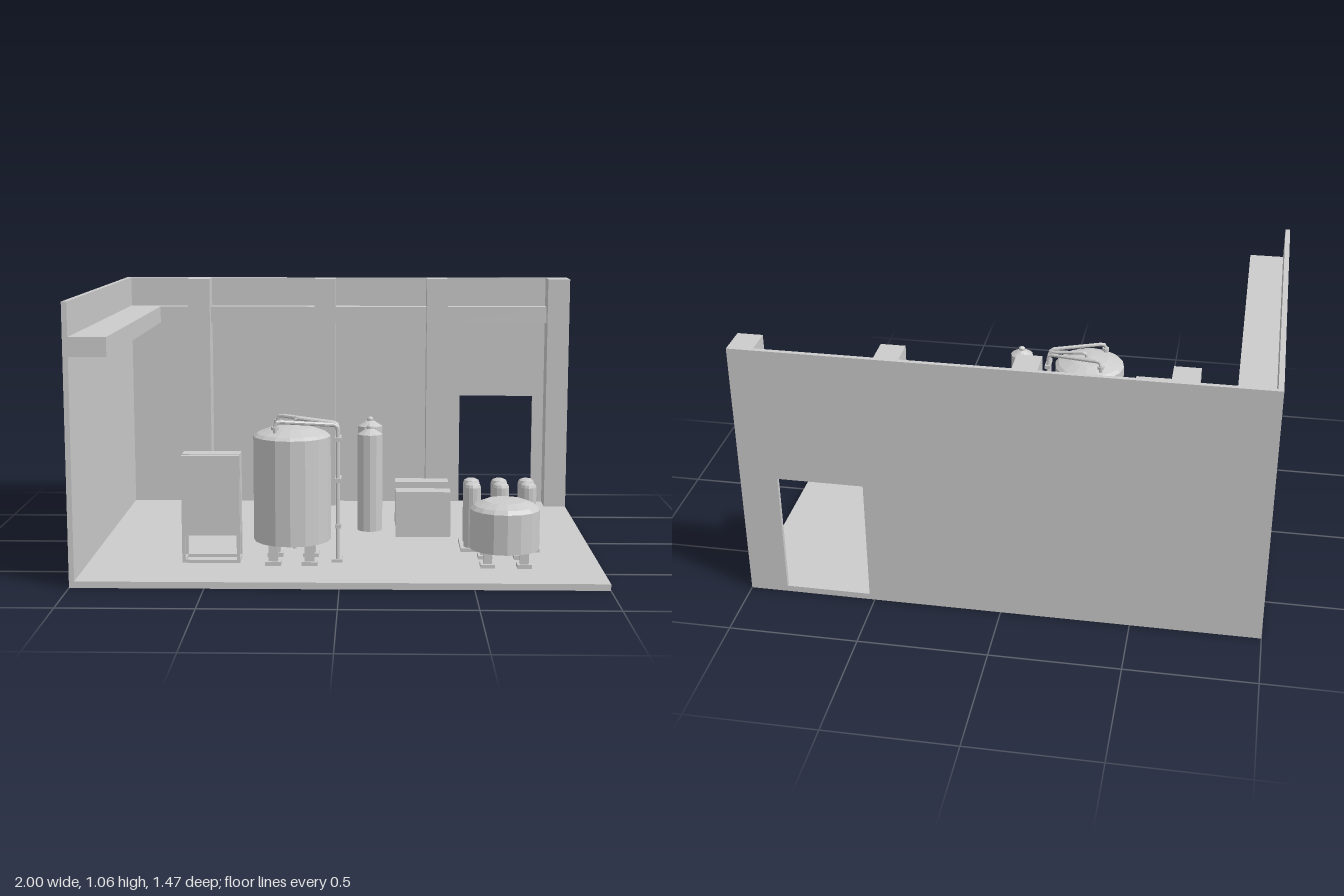
import * as THREE from 'three';

const FLOOR = 0.025;

export function createModel() {
  const root = new THREE.Group();
  root.name = 'utilityRoom';
  const mat = new THREE.MeshStandardMaterial({ color: 0xcccccc, flatShading: true });

  const group = (name, x = 0, z = 0) => {
    const g = new THREE.Group();
    g.name = name;
    g.position.set(x, 0, z);
    root.add(g);
    return g;
  };
  const add = (parent, name, geo) => {
    const m = new THREE.Mesh(geo, mat);
    m.name = name;
    parent.add(m);
    return m;
  };
  // Box given by its minimum and maximum along each axis
  const box = (parent, name, x0, x1, y0, y1, z0, z1) => {
    const m = add(parent, name, new THREE.BoxGeometry(x1 - x0, y1 - y0, z1 - z0));
    m.position.set((x0 + x1) / 2, (y0 + y1) / 2, (z0 + z1) / 2);
    return m;
  };
  const lathe = (parent, name, pts, sides) =>
    add(parent, name, new THREE.LatheGeometry(pts.map(p => new THREE.Vector2(...p)), sides));
  // Round pipe through a list of points with straight runs and rounded corners
  const pipe = (parent, name, pts, r) => {
    const v = pts.map(p => new THREE.Vector3(...p));
    const path = new THREE.CurvePath();
    let from = v[0];
    for (let i = 1; i < v.length - 1; i++) {
      const bend = 0.018;
      const a = v[i].clone().add(v[i - 1].clone().sub(v[i]).setLength(bend));
      const b = v[i].clone().add(v[i + 1].clone().sub(v[i]).setLength(bend));
      path.add(new THREE.LineCurve3(from, a));
      path.add(new THREE.QuadraticBezierCurve3(a, v[i], b));
      from = b;
    }
    path.add(new THREE.LineCurve3(from, v[v.length - 1]));
    return add(parent, name, new THREE.TubeGeometry(path, 48, r, 8));
  };
  // Four legs on square foot plates
  const legs = (parent, d, top, w) => {
    for (const sx of [-1, 1]) for (const sz of [-1, 1]) {
      const x = sx * d, z = sz * d;
      box(parent, 'leg', x - w * 0.3, x + w * 0.3, FLOOR, top, z - w * 0.3, z + w * 0.3);
      box(parent, 'footPlate', x - w / 2, x + w / 2, FLOOR, FLOOR + 0.015, z - w / 2, z + w / 2);
    }
  };

  // Floor and walls, with a doorway in the back wall
  const room = group('room');
  box(room, 'floor', -1, 1, 0, FLOOR, -0.735, 0.735);
  box(room, 'sideWall', -1, -0.98, FLOOR, 1.06, -0.735, 0.735);
  const wall = new THREE.Shape([[-0.98, FLOOR], [0.52, FLOOR], [0.52, 0.52], [0.853, 0.52],
    [0.853, FLOOR], [1, FLOOR], [1, 1.06], [-0.98, 1.06]].map(p => new THREE.Vector2(...p)));
  add(room, 'backWall', new THREE.ExtrudeGeometry(wall, { depth: 0.018, bevelEnabled: false }))
    .position.z = -0.735;

  // Columns and the beams between them
  const columns = [[-0.71, -0.612], [-0.14, -0.047], [0.363, 0.456], [0.903, 1]];
  let start = -0.84;
  for (const [a, b] of columns) {
    box(room, 'column', a, b, FLOOR, 1.06, -0.717, -0.607);
    box(room, 'backBeam', start, a, 0.86, 0.932, -0.717, -0.655);
    start = b;
  }
  box(room, 'sideBeam', -0.98, -0.84, 0.86, 0.932, -0.717, 0.735);

  // Large tank
  const big = group('largeTank', -0.19, 0.39);
  lathe(big, 'tankBody', [[0, 0.11], [0.15, 0.11], [0.15, 0.518], [0.135, 0.53],
    [0.08, 0.55], [0, 0.56]], 16);
  legs(big, 0.07, 0.12, 0.062);

  // Pipes from the large tank to the floor
  const piping = group('tankPiping');
  const outlets = [[-0.25, 0.295], [-0.18, 0.37], [-0.25, 0.47]];
  outlets.forEach(([x, z], i) => {
    const pz = 0.367 + i * 0.025;
    pipe(piping, 'pipe', [[x, 0.53, z], [x, 0.583, z], [-0.012, 0.563, pz], [-0.012, FLOOR, pz]], 0.008);
    const flange = add(piping, 'flange', new THREE.CylinderGeometry(0.015, 0.015, 0.012, 10));
    flange.position.set(x, 0.558, z);
  });
  box(piping, 'pipeFoot', -0.036, 0.006, FLOOR, 0.037, 0.35, 0.434);
  for (const y of [0.16, 0.34, 0.5]) box(piping, 'pipeClamp', -0.022, 0.001, y, y + 0.015, 0.353, 0.431);

  // Filter vessel behind the large tank
  const filter = group('filterVessel', -0.19, 0.17);
  lathe(filter, 'filterBody', [[0, 0.1], [0.03, 0.105], [0.044, 0.125], [0.044, 0.42],
    [0.053, 0.425], [0.053, 0.443], [0.045, 0.445], [0.03, 0.46], [0, 0.465]], 16);
  const rim = add(filter, 'clampRing', new THREE.TorusGeometry(0.045, 0.006, 6, 16));
  rim.rotation.x = Math.PI / 2;
  rim.position.y = 0.445;
  const valve = add(filter, 'valveStem', new THREE.CylinderGeometry(0.01, 0.01, 0.06, 8));
  valve.position.y = 0.488;
  box(filter, 'valveHead', -0.024, 0.024, 0.495, 0.518, -0.012, 0.012);
  for (let i = 0; i < 3; i++) {
    const a = i * Math.PI * 2 / 3;
    const leg = add(filter, 'filterLeg', new THREE.CylinderGeometry(0.008, 0.008, 0.11, 8));
    leg.position.set(0.034 * Math.sin(a), FLOOR + 0.055, 0.034 * Math.cos(a));
  }

  // Two slim columns and two equipment boxes
  for (const z of [0.22, 0.42]) {
    const slim = group('slimVessel', 0.112, z);
    lathe(slim, 'slimBody', [[0, 0.155], [0.048, 0.155], [0.048, 0.53], [0.016, 0.55],
      [0.013, 0.55], [0.013, 0.56], [0.006, 0.566], [0, 0.566]], 12);
    box(root, 'equipmentBox', 0.212, 0.422, 0.134, 0.31, z - 0.038, z + 0.038);
  }

  // Control cabinet on an open frame
  const cab = group('controlCabinet');
  box(cab, 'cabinetBody', -0.615, -0.39, 0.134, 0.447, 0.345, 0.417);
  box(cab, 'doorSeal', -0.607, -0.398, 0.142, 0.44, 0.417, 0.433);
  box(cab, 'cabinetDoor', -0.615, -0.39, 0.134, 0.447, 0.433, 0.45);
  for (const x of [-0.615, -0.403]) {
    for (const z of [0.345, 0.437])
      box(cab, 'framePost', x, x + 0.013, FLOOR, 0.134, z, z + 0.013);
    box(cab, 'frameSideRail', x, x + 0.013, FLOOR, 0.037, 0.358, 0.437);
  }
  for (const z of [0.345, 0.437])
    box(cab, 'frameRail', -0.602, -0.403, FLOOR, 0.037, z, z + 0.013);

  // Small tank
  const small = group('smallTank', 0.634, 0.42);
  lathe(small, 'tankBody', [[0, 0.085], [0.135, 0.085], [0.135, 0.24], [0.12, 0.255],
    [0.078, 0.272], [0, 0.275]], 16);
  legs(small, 0.07, 0.095, 0.055);

  // Rack of six bottles
  const rack = group('bottleRack');
  box(rack, 'rackBase', 0.475, 0.79, FLOOR, 0.04, 0.08, 0.257);
  for (const x of [0.522, 0.634, 0.743]) for (const z of [0.128, 0.22]) {
    const bottle = lathe(rack, 'bottle', [[0, 0.04], [0.033, 0.04], [0.033, 0.283],
      [0.029, 0.294], [0.018, 0.3], [0, 0.3]], 12);
    bottle.position.set(x, 0, z);
  }
  return root;
}
